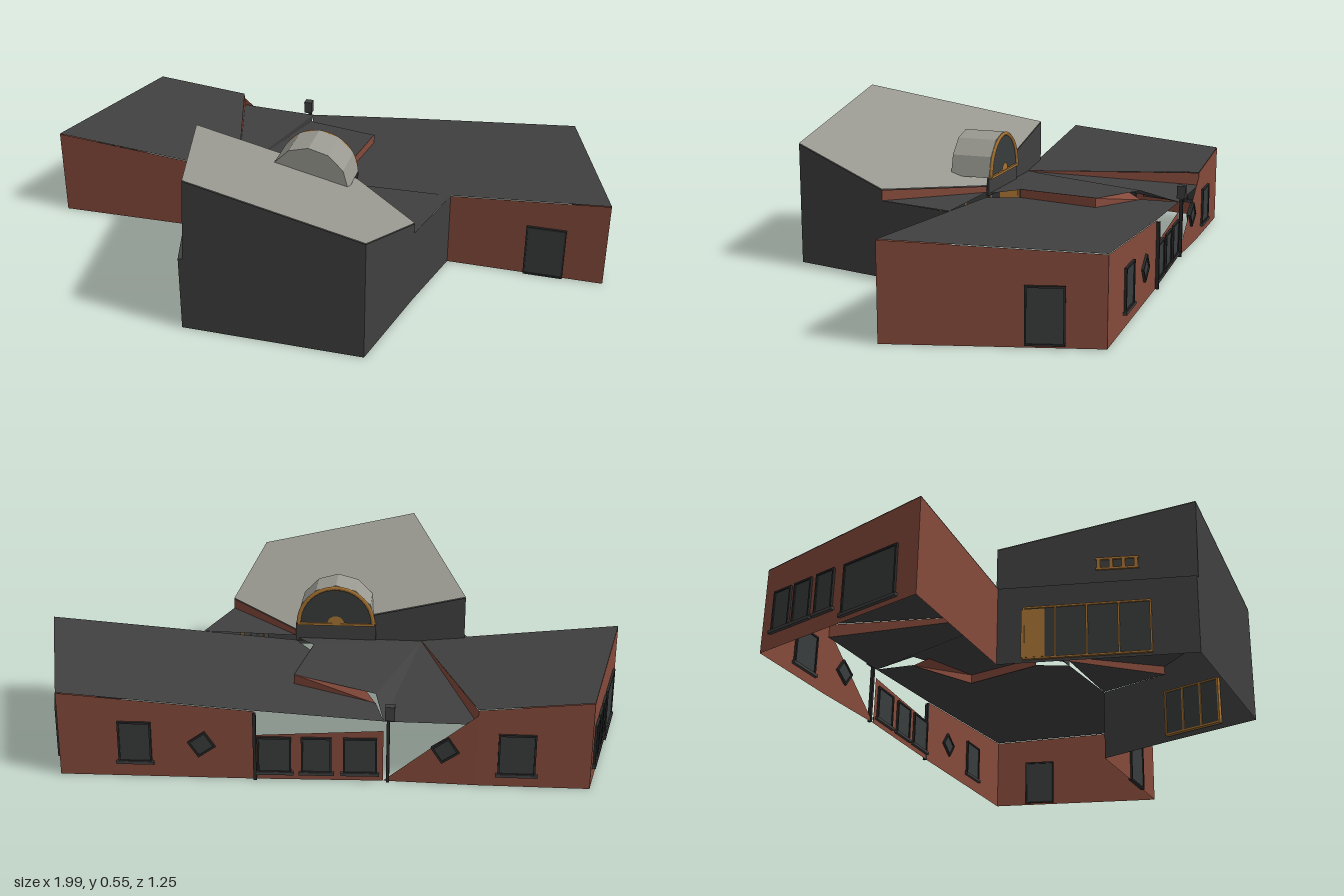
import * as THREE from 'three';

const mat = (name, color) => {
  const m = new THREE.MeshStandardMaterial({ color, side: THREE.DoubleSide });
  m.name = name;
  return m;
};

export function createModel() {
  const root = new THREE.Group();
  root.name = 'building';
  const brick = mat('brick', 0x854a3b);
  const dark = mat('charcoal cladding', 0x404040);
  const glass = mat('dark glass', 0x393c3c);
  const trim = mat('black trim', 0x2a2a2a);
  const light = mat('pale metal roof', 0x999991);
  const amber = mat('amber frame', 0xa87434);

  const add = (name, geo, m, parent = root) => {
    const mesh = new THREE.Mesh(geo, m);
    mesh.name = name;
    parent.add(mesh);
    return mesh;
  };

  // flat surface from [x, y, z] corners; roofs are triangulated in plan
  const surface = (name, pts, m, plan = false) => {
    const tris = plan
      ? THREE.ShapeUtils.triangulateShape(pts.map(p => new THREE.Vector2(p[0], -p[2])), [])
      : pts.slice(2).map((_, i) => [0, i + 1, i + 2]);
    const pos = [];
    for (const t of tris) {
      const [a, b, c] = t.map(i => new THREE.Vector3(...pts[i]));
      const up = b.clone().sub(a).cross(c.clone().sub(a)).y;
      for (const v of (plan && up < 0 ? [a, c, b] : [a, b, c])) pos.push(v.x, v.y, v.z);
    }
    const g = new THREE.BufferGeometry();
    g.setAttribute('position', new THREE.Float32BufferAttribute(pos, 3));
    g.computeVertexNormals();
    return add(name, g, m);
  };

  // upright wall between plan points a and b, with its own height at each end
  const wall = (name, a, b, ya, yb, m, y0a = 0, y0b = y0a) =>
    surface(name, [[a[0], y0a, a[1]], [b[0], y0b, b[1]], [b[0], yb, b[1]], [a[0], ya, a[1]]], m);

  // group lying on the wall a-b, its local x running along the wall
  const onWall = (name, a, b, t, y) => {
    const g = new THREE.Group();
    g.name = name;
    g.position.set(a[0] + (b[0] - a[0]) * t, y, a[1] + (b[1] - a[1]) * t);
    g.rotation.y = Math.atan2(a[1] - b[1], b[0] - a[0]);
    root.add(g);
    return g;
  };
  const box = (name, w, h, d, x, y, z, m, parent) =>
    add(name, new THREE.BoxGeometry(w, h, d), m, parent).position.set(x, y, z);

  // framed opening with upright bars
  const opening = (name, a, b, t, y, w, h, frame, panes = 1) => {
    const g = onWall(name, a, b, t, y), s = 0.006;
    box('pane', w, h, 0.008, 0, 0, 0, glass, g);
    for (const k of [-1, 1]) box('frameRail', w + s, s, 0.016, 0, k * h / 2, 0, frame, g);
    for (let i = 0; i <= panes; i++) box('frameBar', s, h, 0.016, w * (i / panes - 0.5), 0, 0, frame, g);
    return g;
  };

  // plan corners
  const L0 = [-0.99, 0.02], L1 = [-0.84, -0.61], L2 = [-0.49, -0.61];
  const M = [-0.2, -0.6], R2 = [0.2, -0.615], R1 = [0.82, -0.625], R0 = [1, 0];
  const FL = [-0.47, 0.01], FA = [-0.3, 0.62], FB = [0.31, 0.62], FC = [0.39, 0.27], FR = [0.46, 0];
  const UL = [-0.46, 0], UA = [-0.27, 0.62], V = [0.13, 0];
  const yRight = p => 0.265 + 0.074 * (p[0] - 0.46) + 0.026 * p[1];
  const yLeft = p => 0.265 - 0.096 * (p[0] + 0.47) + 0.025 * p[1];
  const yHall = p => 0.55 - 0.224 * (p[0] + 0.27) + 0.29 * (p[1] - 0.62);
  const lift = (f, dy = 0) => p => [p[0], f(p) + dy, p[1]];

  // brick wings
  wall('leftFrontWall', L0, FL, yLeft(L0), yLeft(FL), brick);
  wall('leftEndWall', L1, L0, yLeft(L1), yLeft(L0), brick);
  wall('leftBackWall', L2, L1, yLeft(L2), yLeft(L1), brick);
  surface('slopedBackWall', [[M[0], 0, M[1]], [L2[0], 0, L2[1]], [L2[0], 0.235, L2[1]]], brick);
  wall('middleBackWall', R2, M, 0.15, 0.17, brick);
  wall('rightBackWall', R1, R2, yRight(R1), yRight(R2), brick);
  wall('rightEndWall', R0, R1, yRight(R0), yRight(R1), brick);
  wall('rightFrontWall', FR, R0, yRight(FR), yRight(R0), brick);

  // dark roofs of the wings
  const fold = [-0.31, 0], S1 = [-0.17, -0.47], S2 = [0.1, -0.38], S3 = [0.06, -0.1];
  surface('leftRoof', [L0, L1, L2, fold, FL].map(lift(yLeft, 0.002)), dark, true);
  surface('rightRoof', [V, FR, R0, R1, R2, M, S1, S2, S3].map(lift(yRight, 0.002)), dark, true);
  surface('sideRoof', [[0.13, 0.26, 0], [0.39, 0.265, 0.27], [0.46, 0.267, 0]], dark, true);
  surface('middleRoof', [[-0.31, 0.25, 0], [0.13, 0.255, 0], [0.06, 0.262, -0.1], [0.1, 0.262, -0.38],
    [-0.17, 0.24, -0.47], [-0.2, 0.202, -0.6], [-0.49, 0.205, -0.61]], dark, true);

  // brick steps between the roof levels
  wall('foldStep', L2, fold, yLeft(L2), 0.252, brick, 0.205, 0.25);
  surface('backStep', [[-0.17, yRight(S1), -0.47], [0.1, yRight(S2), -0.38], [0.1, 0.262, -0.38],
    [-0.13, 0.243, -0.43]], brick);
  wall('sideStep', S2, S3, 0.264, 0.264, brick, yRight(S2), yRight(S3));
  wall('hallStep', V, FC, yHall(V), yHall(FC), brick, 0.26, 0.265);

  // dark front hall: lower walls, ledge, upper walls
  const ledge = 0.265;
  wall('hallLowerSide', FL, FA, ledge, ledge, dark);
  wall('hallUpperSide', UL, UA, yHall(UL), yHall(UA), dark, ledge);
  surface('hallLedge', [[...FL], [...FA], [...UA], [...UL]].map(p => [p[0], ledge, p[1]]), dark, true);
  surface('hallFront', [[-0.3, 0, 0.62], [0.31, 0, 0.62], [0.31, yHall(FB), 0.62],
    [-0.27, 0.55, 0.62], [-0.27, ledge, 0.62], [-0.3, ledge, 0.62]], dark, false);
  wall('hallRightSide', FB, FC, yHall(FB), yHall(FC), dark);
  wall('hallRightRear', FC, FR, ledge, ledge, dark);
  wall('hallBack', UL, V, yHall(UL), yHall(V), dark, 0.24);
  const hall = [UL, UA, FB, FC, V];
  surface('hallRoof', hall.map(lift(yHall, 0.003)), light, true);
  surface('hallCeiling', hall.map(lift(yHall, -0.004)), dark, true);

  // barrel dormer with an arched window at its back
  const dormer = new THREE.Group();
  dormer.name = 'dormer';
  dormer.position.set(-0.01, 0.31, 0);
  root.add(dormer);
  const barrel = new THREE.CylinderGeometry(0.14, 0.14, 0.14, 6, 1, false, Math.PI / 2, Math.PI)
    .rotateX(Math.PI / 2).toNonIndexed();
  barrel.computeVertexNormals();
  add('dormerShell', barrel, light, dormer).position.z = 0.06;
  add('archGlass', new THREE.CircleGeometry(0.13, 20, 0, Math.PI), glass, dormer).position.z = -0.013;
  add('archFrame', new THREE.TorusGeometry(0.131, 0.007, 4, 20, Math.PI), amber, dormer).position.z = -0.014;
  add('archFan', new THREE.CircleGeometry(0.03, 10, 0, Math.PI), amber, dormer).position.z = -0.017;
  box('archSill', 0.27, 0.008, 0.012, 0, 0, -0.014, amber, dormer);
  box('archApron', 0.28, 0.06, 0.008, 0, -0.032, -0.006, dark, dormer);

  // hall glazing
  opening('rightGlazing', FB, FC, 0.675, 0.097, 0.218, 0.165, amber, 3).position.set(0.339, 0.097, 0.385);
  root.getObjectByName('rightGlazing').rotation.y = Math.atan2(0.35, 0.08);
  opening('sideGlazing', FL, FA, 0.45, 0.1, 0.4, 0.175, amber, 4);
  box('sideDoor', 0.075, 0.165, 0.009, 0, 0, 0, amber, onWall('doorLeaf', FL, FA, 0.18, 0.1));
  const plaque = onWall('plaque', UL, UA, 0.6, 0.34);
  for (const y of [-0.018, 0.018]) box('plaqueRail', 0.14, 0.007, 0.012, 0, y, 0, amber, plaque);
  for (const x of [-0.06, -0.02, 0.02, 0.06]) box('plaqueBar', 0.012, 0.032, 0.012, x, 0, 0, amber, plaque);

  // wing doors and windows
  opening('frontDoor', FR, R0, 0.62, 0.095, 0.13, 0.185, trim);
  opening('endDoor', R0, R1, 0.73, 0.095, 0.11, 0.17, trim);
  const backWindow = (a, b, t, y, w, h) => {
    const g = opening('window', a, b, t, y, w, h, trim);
    box('sill', w + 0.02, 0.01, 0.022, 0, -h / 2 - 0.004, 0, dark, g);
    return g;
  };
  backWindow(R1, R2, 0.39, 0.118, 0.1, 0.13);
  for (const t of [0.15, 0.48, 0.82]) backWindow(R2, M, t, 0.085, t === 0.48 ? 0.09 : 0.1, 0.115);
  backWindow(L2, L1, 0.35, 0.108, 0.11, 0.13);
  for (const t of [0.13, 0.27, 0.42]) backWindow(L1, L0, t, 0.125, 0.07, 0.13);
  backWindow(L1, L0, 0.71, 0.105, 0.21, 0.16);

  // small tilted windows
  for (const [a, b, t] of [[R1, R2, 0.73], [M, L2, 0.66]]) {
    const g = opening('tiltedWindow', a, b, t, 0.115, 0.06, 0.055, trim);
    g.rotateZ(0.6);
  }

  // rainwater heads and pipes
  box('rainHead', 0.03, 0.045, 0.03, -0.22, 0.235, -0.605, dark, root);
  for (const [x, z, h] of [[-0.215, -0.605, 0.22], [0.2, -0.62, 0.225]])
    box('downPipe', 0.01, h, 0.012, x, h / 2, z, trim, root);

  return root;
}
